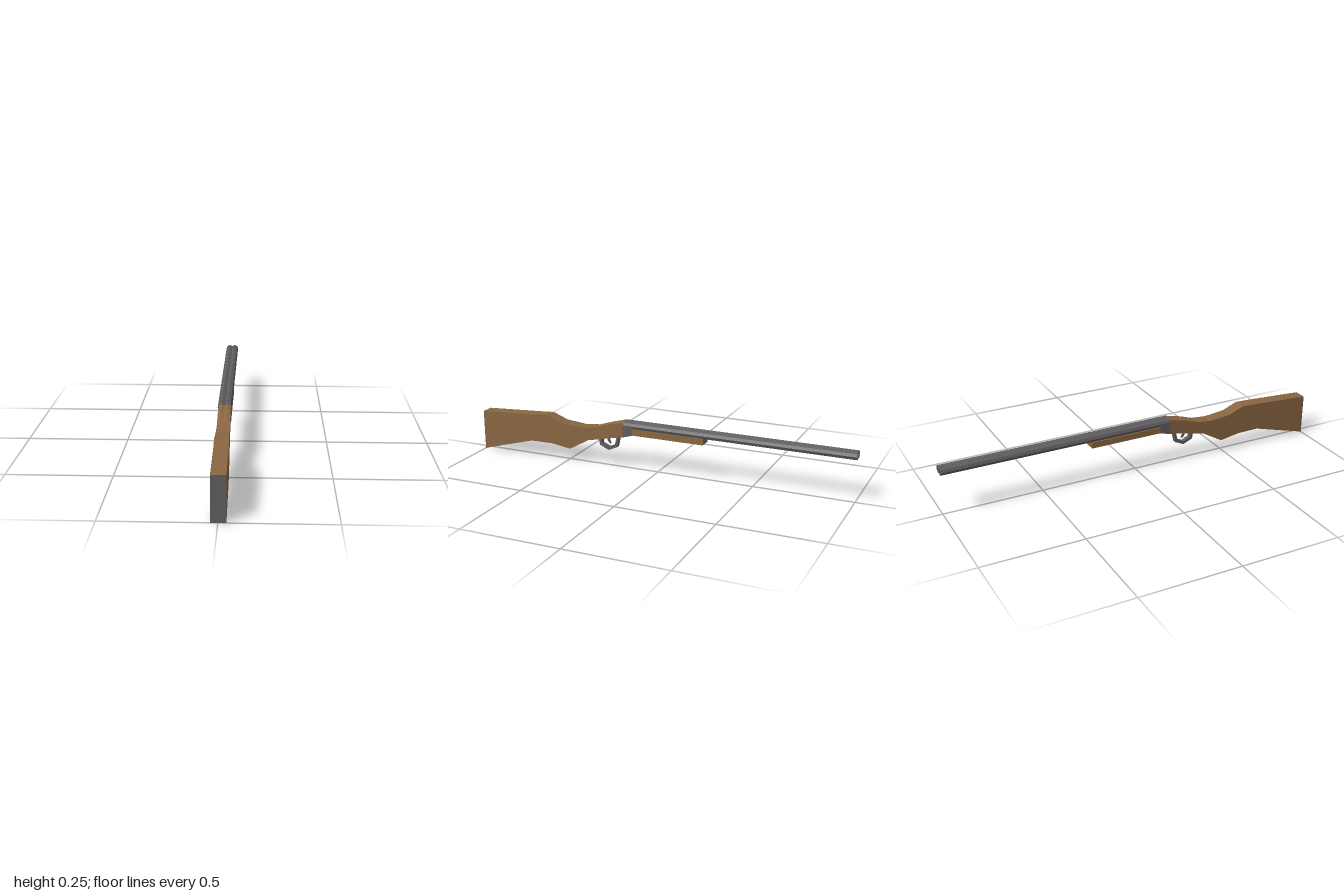
import * as THREE from 'three';

const wood = new THREE.MeshStandardMaterial({ color: 0x8a6642, flatShading: true });
const metal = new THREE.MeshStandardMaterial({ color: 0x5f5d60, flatShading: true });
const AXIS = -0.0035; // x of the plane between the barrels

function add(group, name, geometry, material) {
  const mesh = new THREE.Mesh(geometry, material);
  mesh.name = name;
  group.add(mesh);
  return mesh;
}

// Value at z on a polyline of [z, value] pairs sorted by falling z
function sample(line, z) {
  for (let i = 1; i < line.length; i++) {
    const [z0, a] = line[i - 1], [z1, b] = line[i];
    if (z >= z1) return a + (b - a) * (z - z0) / (z1 - z0);
  }
  return line[line.length - 1][1];
}

// Side outline given as [z, y] points, extruded from x0 to x1
function sidePlate(points, x0, x1, hole) {
  const shape = new THREE.Shape(points.map(([z, y]) => new THREE.Vector2(-z, y)));
  if (hole) shape.holes.push(new THREE.Path(hole.map(([z, y]) => new THREE.Vector2(-z, y))));
  return new THREE.ExtrudeGeometry(shape, { depth: x1 - x0, bevelEnabled: false })
    .rotateY(Math.PI / 2).translate(x0, 0, 0);
}

// Stock: cross-sections lofted from butt to barrels, top waved to meet the barrels
function stockGeometry() {
  const top = [[0.997, 0.208], [0.61, 0.231], [0.53, 0.2], [0.42, 0.19], [0.34, 0.198], [0.27, 0.224], [0.18, 0.25]];
  const bottom = [[0.997, 0.001], [0.71, 0.081], [0.59, 0.081], [0.485, 0.065], [0.38, 0.125], [0.18, 0.168]];
  const left = [[0.997, -0.031], [0.71, -0.031], [0.59, -0.034], [0.485, -0.036], [0.34, -0.034], [0.18, -0.033]];
  const right = [[0.997, 0.035], [0.71, 0.035], [0.59, 0.031], [0.485, 0.03], [0.34, 0.027], [0.18, 0.026]];
  const wave = [[0.997, 0], [0.34, 0], [0.18, 0.006]];
  const stations = [...new Set([...top, ...bottom].map((p) => p[0]))].sort((a, b) => b - a);
  const pos = [], index = [], n = 7;
  stations.forEach((z, s) => {
    const x0 = sample(left, z), x1 = sample(right, z), y0 = sample(bottom, z), y1 = sample(top, z);
    const dip = sample(wave, z);
    pos.push(x0, y0, z, x1, y0, z);
    for (let i = 4; i >= 0; i--) pos.push(x0 + (x1 - x0) * i / 4, y1 - (i % 2 ? 0 : dip), z);
    if (s === 0) return;
    for (let i = 0; i < n; i++) {
      const a = (s - 1) * n + i, b = (s - 1) * n + (i + 1) % n;
      index.push(a, a + n, b, b, a + n, b + n);
    }
  });
  // End caps
  const last = (stations.length - 1) * n;
  for (let i = 1; i < n - 1; i++) {
    index.push(0, i, i + 1);
    index.push(last, last + i + 1, last + i);
  }
  const g = new THREE.BufferGeometry();
  g.setAttribute('position', new THREE.Float32BufferAttribute(pos, 3));
  g.setIndex(index);
  const flat = g.toNonIndexed();
  flat.computeVertexNormals();
  return flat;
}

// Hollow eight-sided barrel, closed at the breech
function barrelGeometry() {
  const profile = [[0, 0], [0.0195, 0], [0.0195, 1.18], [0.0135, 1.18], [0.0135, 0.9], [0, 0.9]];
  return new THREE.LatheGeometry(profile.map(([r, y]) => new THREE.Vector2(r, y)), 8)
    .rotateX(-Math.PI / 2).translate(0, 0.2305, 0.18);
}

export function createModel() {
  const model = new THREE.Group();
  model.name = 'doubleBarrelGun';

  add(model, 'stock', stockGeometry(), wood);
  add(model, 'buttPlate', new THREE.BoxGeometry(0.066, 0.208, 0.004).translate(0.002, 0.104, 0.998), metal);

  // Barrels side by side
  for (const side of [-1, 1]) {
    const barrel = add(model, side > 0 ? 'leftBarrel' : 'rightBarrel', barrelGeometry(), metal);
    barrel.position.x = AXIS + side * 0.0145;
  }

  // Receiver block and wooden fore-end
  add(model, 'receiver', sidePlate([[0.182, 0.167], [0.127, 0.183], [0.127, 0.225], [0.145, 0.235], [0.182, 0.235]], -0.036, 0.029), metal);
  add(model, 'foreEnd', sidePlate([[0.13, 0.184], [-0.25, 0.184], [-0.25, 0.215], [0.13, 0.215]], -0.036, 0.029), wood);

  // Trigger guard loop and trigger
  add(model, 'triggerGuard', sidePlate(
    [[0.33, 0.15], [0.322, 0.103], [0.272, 0.081], [0.224, 0.103], [0.21, 0.165]],
    AXIS - 0.011, AXIS + 0.011,
    [[0.313, 0.148], [0.308, 0.114], [0.272, 0.097], [0.237, 0.114], [0.226, 0.159]]), metal);
  add(model, 'trigger', sidePlate(
    [[0.285, 0.155], [0.281, 0.13], [0.266, 0.113], [0.262, 0.118], [0.271, 0.133], [0.271, 0.157]],
    AXIS - 0.005, AXIS + 0.005), metal);

  return model;
}
